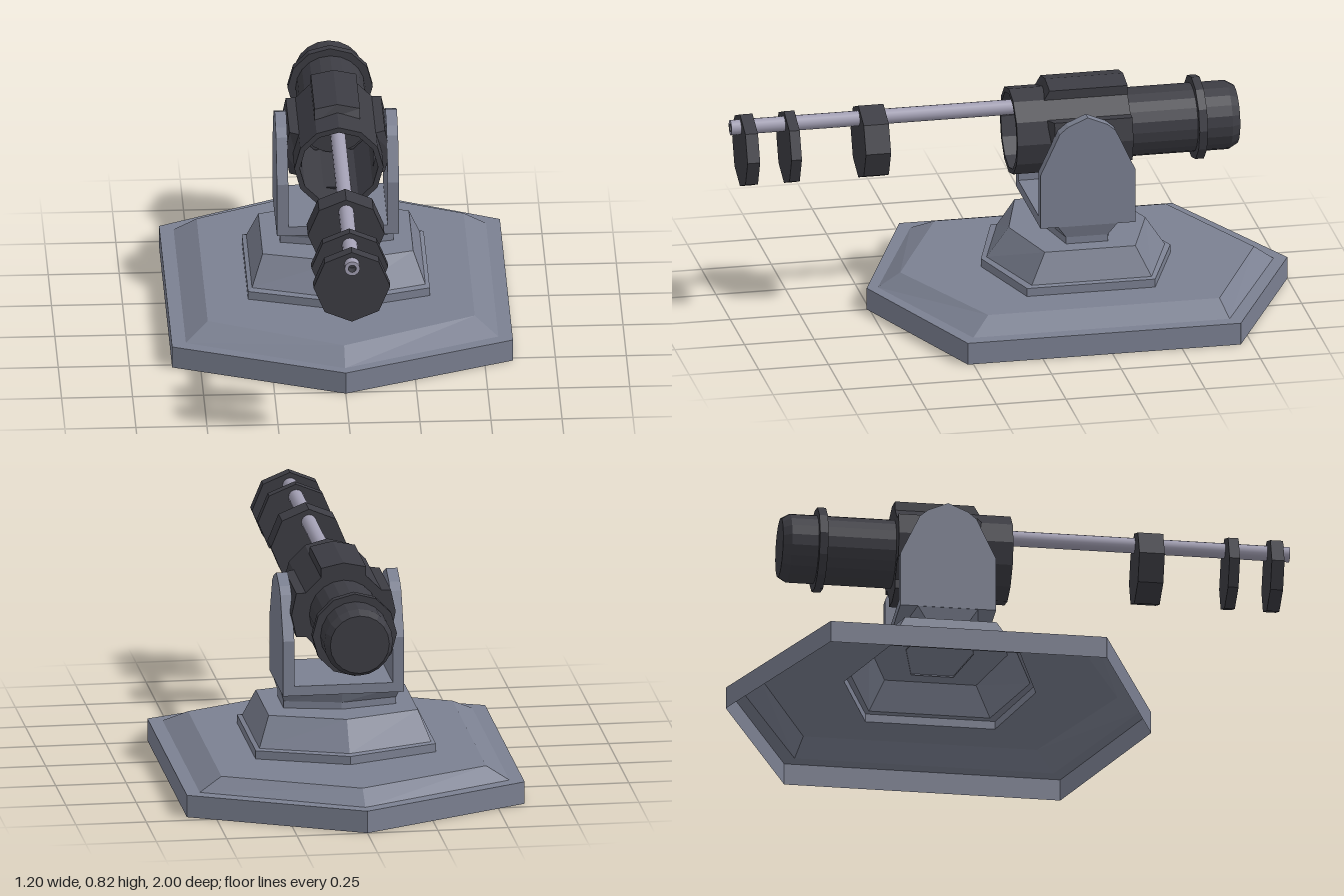
import * as THREE from 'three';

const material = (name, color) => {
  const m = new THREE.MeshStandardMaterial({ color, side: THREE.DoubleSide });
  m.name = name;
  return m;
};

// Give every face its own normal for a faceted look
function faceted(geometry) {
  const g = geometry.index ? geometry.toNonIndexed() : geometry;
  g.computeVertexNormals();
  return g;
}

// Stretched hexagonal rings [y, halfWidth, frontTip, frontCorner, backCorner, backTip], joined upwards and capped
function hexShell(rings) {
  const loops = rings.map(([y, x, f, fc, bc, b]) =>
    [[0, y, f], [x, y, fc], [x, y, bc], [0, y, b], [-x, y, bc], [-x, y, fc]]);
  const pos = [];
  for (let r = 0; r < loops.length - 1; r++) {
    for (let i = 0; i < 6; i++) {
      const j = (i + 1) % 6;
      const a = loops[r][i], b = loops[r][j], c = loops[r + 1][j], d = loops[r + 1][i];
      pos.push(...a, ...b, ...c, ...a, ...c, ...d);
    }
  }
  const top = loops[loops.length - 1];
  for (let i = 1; i < 5; i++) pos.push(...top[0], ...top[i], ...top[i + 1]);
  const g = new THREE.BufferGeometry();
  g.setAttribute('position', new THREE.Float32BufferAttribute(pos, 3));
  g.computeVertexNormals();
  return g;
}

// Lathe along z from [radius, z] points
function turned(points, sides) {
  const g = new THREE.LatheGeometry(points.map(([r, z]) => new THREE.Vector2(r, z)), sides);
  return g.rotateX(Math.PI / 2);
}

export function createModel() {
  const steel = material('blue grey steel', 0x7b8091);
  const dark = material('dark metal', 0x3c3c43);
  const bright = material('pale rod metal', 0xa29fb3);
  const model = new THREE.Group();
  model.name = 'turret';
  const add = (name, geometry, mat, parent = model) => {
    const mesh = new THREE.Mesh(geometry, mat);
    mesh.name = name;
    parent.add(mesh);
    return mesh;
  };

  // Hollow stepped base, open underneath
  add('base', hexShell([
    [0, 0.6, 0.51, 0.27, -0.71, -1],
    [0.08, 0.6, 0.51, 0.27, -0.71, -1],
    [0.08, 0.55, 0.47, 0.24, -0.68, -0.95],
    [0.13, 0.47, 0.39, 0.17, -0.66, -0.88],
    [0.13, 0.32, 0.1, 0, -0.46, -0.58],
    [0.16, 0.32, 0.1, 0, -0.46, -0.58],
    [0.165, 0.305, 0.08, -0.02, -0.45, -0.56],
    [0.27, 0.265, 0, -0.075, -0.4, -0.49],
  ]), steel);

  // Flared neck
  add('neck', hexShell([
    [0.265, 0.2, -0.12, -0.165, -0.315, -0.36],
    [0.295, 0.2, -0.12, -0.165, -0.315, -0.36],
    [0.345, 0.215, -0.1, -0.13, -0.35, -0.385],
  ]), steel);

  // Yoke: floor and two tapered arms
  const yoke = new THREE.Group();
  yoke.name = 'yoke';
  model.add(yoke);
  const floor = new THREE.BoxGeometry(0.35, 0.035, 0.34);
  add('yokeFloor', floor.translate(0, 0.3575, -0.24), steel, yoke);
  const half = [[0.17, 0.34], [0.17, 0.54], [0.1, 0.69], [0.07, 0.715]];
  const outline = [...half, [0, 0.745], ...half.map(([u, v]) => [-u, v]).reverse()];
  const armShape = new THREE.Shape(outline.map(([u, v]) => new THREE.Vector2(u, v)));
  for (const side of [1, -1]) {
    const g = new THREE.ExtrudeGeometry(armShape, { depth: 0.04, bevelEnabled: false });
    g.rotateY(Math.PI / 2).translate(side * 0.195 - 0.02, 0, -0.24);
    add(side > 0 ? 'leftArm' : 'rightArm', g, steel, yoke);
  }

  // Gun, centred on its own axis
  const gun = new THREE.Group();
  gun.name = 'gun';
  gun.position.y = 0.635;
  model.add(gun);

  // Open-fronted twelve-sided sleeve
  add('sleeve', faceted(turned(
    [[0.12, -0.41], [0.157, -0.41], [0.157, 0], [0.138, 0], [0.138, -0.4]], 12)), dark, gun);

  // Four raised pads with sloping front ends
  const padShape = new THREE.Shape([[-0.08, 0.125], [0.08, 0.125], [0.08, 0.168], [0, 0.185], [-0.08, 0.168]]
    .map(([x, y]) => new THREE.Vector2(x, y)));
  for (let i = 0; i < 4; i++) {
    const g = new THREE.ExtrudeGeometry(padShape, { depth: 0.305, bevelEnabled: false });
    g.translate(0, 0, -0.41);
    const p = g.attributes.position;
    for (let k = 0; k < p.count; k++) {
      if (p.getZ(k) > -0.2 && p.getY(k) > 0.15) p.setZ(k, -0.13);
    }
    add('pad', faceted(g.rotateZ(i * Math.PI / 2)), dark, gun);
  }

  // Rear housing with tapered end and collar
  add('rearHousing', faceted(turned(
    [[0, -0.81], [0.105, -0.81], [0.122, -0.78], [0.122, -0.38], [0, -0.38]], 20)), dark, gun);
  add('rearCollar', faceted(turned(
    [[0.11, -0.685], [0.15, -0.685], [0.15, -0.655], [0.11, -0.655]], 12)), dark, gun);

  // Hollow rod, off-centre in the sleeve
  const rod = turned(
    [[0.027, -0.39], [0.027, 1]], 16);
  add('rod', rod.translate(0, 0.088, 0), bright, gun);
  const muzzle = new THREE.RingGeometry(0.014, 0.027, 16).translate(0, 0.088, 1);
  add('muzzleRing', muzzle, bright, gun);
  const bore = turned([[0, 0.95], [0.014, 0.95], [0.014, 1]], 16);
  add('bore', bore.translate(0, 0.088, 0), dark, gun);

  // Octagonal plates along the rod
  for (const [z0, z1] of [[0.45, 0.54], [0.77, 0.807], [0.92, 0.965]]) {
    const g = new THREE.CylinderGeometry(0.135, 0.135, z1 - z0, 8);
    g.rotateX(Math.PI / 2).translate(0, 0, (z0 + z1) / 2);
    add('rodPlate', faceted(g), dark, gun);
  }
  return model;
}
